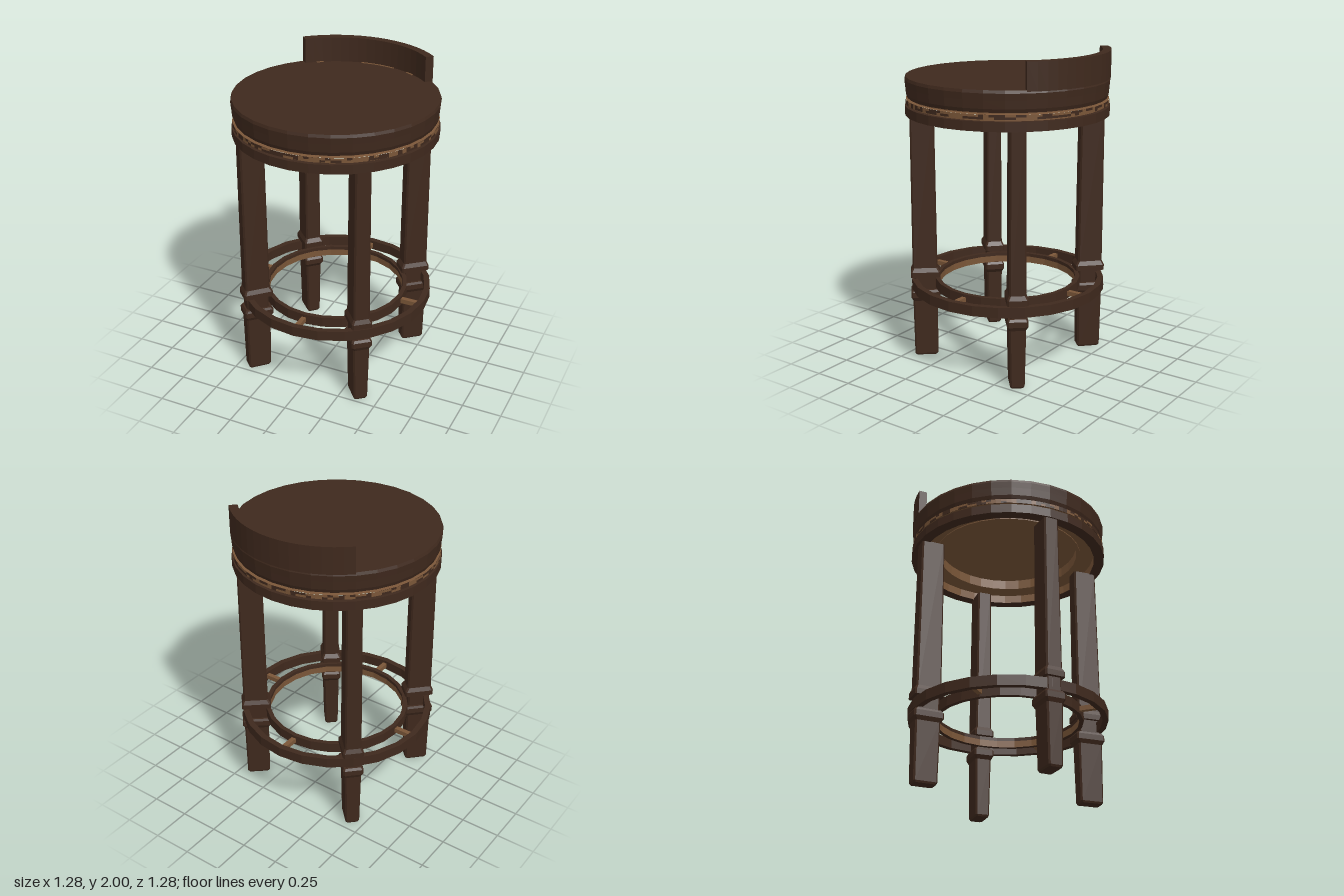
import * as THREE from 'three';

const flat = (color, name) => {
  const m = new THREE.MeshStandardMaterial({ color, flatShading: true });
  m.name = name;
  return m;
};

export function createModel() {
  const darkWood = flat(0x3f291d, 'dark wood');
  const paleWood = flat(0x7a5638, 'pale wood');
  const stool = new THREE.Group();
  stool.name = 'stool';

  const add = (name, geometry, material) => {
    const mesh = new THREE.Mesh(geometry, material);
    mesh.name = name;
    stool.add(mesh);
    return mesh;
  };
  // profile points are [radius, y]; rising runs face outwards
  const lathe = (points, sides = 32) =>
    new THREE.LatheGeometry(points.map(([r, y]) => new THREE.Vector2(r, y)), sides);

  // seat cushion
  add('seat', lathe([[0.5, 1.708], [0.622, 1.708], [0.63, 1.73], [0.634, 1.78],
    [0.638, 1.82], [0.632, 1.838], [0, 1.838]]), darkWood);

  // curved low backrest with worn pale slivers along its foot
  const arc = (inner, outer, turn, halfAngle, y, height) => {
    const shape = new THREE.Shape();
    const mid = Math.PI / 2 - turn;
    shape.absarc(0, 0, outer, mid - halfAngle, mid + halfAngle, false);
    shape.absarc(0, 0, inner, mid + halfAngle, mid - halfAngle, true);
    return new THREE.ExtrudeGeometry(shape, { depth: height, bevelEnabled: false, curveSegments: 8 })
      .rotateX(-Math.PI / 2).translate(0, y, 0);
  };
  add('backrest', arc(0.585, 0.638, 0, Math.PI / 4, 1.83, 0.17), darkWood);
  for (const [turn, half] of [[0.05, 0.2], [0.49, 0.05], [-0.62, 0.04]]) {
    add('backrestSliver', arc(0.574, 0.585, turn, half, 1.836, 0.005), paleWood);
  }

  // worn band between seat and apron: patches of dark over pale wood
  add('bandCore', lathe([[0.56, 1.655], [0.612, 1.655], [0.612, 1.67], [0.632, 1.67]]), paleWood);
  add('bandTop', lathe([[0.632, 1.698], [0.608, 1.7], [0.608, 1.71]]), paleWood);
  const band = new THREE.CylinderGeometry(0.632, 0.632, 0.028, 128, 2, true).translate(0, 1.684, 0);
  band.clearGroups();
  let seed = 7;
  for (let i = 0; i < 256; i++) {
    seed = (seed * 16807) % 2147483647;
    band.addGroup(i * 6, 6, seed / 2147483647 < 0.5 ? 0 : 1);
  }
  add('wornBand', band, [darkWood, paleWood]);

  // apron ring and recessed underside
  add('apron', lathe([[0.57, 1.6], [0.638, 1.6], [0.638, 1.658], [0.57, 1.658]]), darkWood);
  add('apronInside', lathe([[0.57, 1.66], [0.57, 1.6]]), paleWood);
  add('undersideRim', lathe([[0.455, 1.716], [0.455, 1.65], [0.48, 1.65], [0.48, 1.656], [0.575, 1.656]]), paleWood);
  add('underside', lathe([[0, 1.715], [0.46, 1.715]]), paleWood);

  // foot rest: two concentric rings joined by short struts
  const hoop = (inner, outer) =>
    lathe([[inner, 0.465], [outer, 0.465], [outer, 0.53], [inner, 0.53]], 24);
  const hoopInside = (radius, top, bottom) => lathe([[radius, top], [radius, bottom]], 24);
  add('outerFootRing', hoop(0.585, 0.622), darkWood);
  add('outerFootRingInside', hoopInside(0.585, 0.53, 0.465), darkWood);
  add('innerFootRing', hoop(0.442, 0.47), darkWood);
  add('innerFootRingUpperInside', hoopInside(0.442, 0.53, 0.508), darkWood);
  add('innerFootRingLowerInside', hoopInside(0.442, 0.508, 0.465), paleWood);
  for (let i = 0; i < 4; i++) {
    const strut = add('footRingStrut',
      new THREE.BoxGeometry(0.13, 0.03, 0.03).translate(0.527, 0.497, 0), paleWood);
    strut.rotation.y = i * Math.PI / 2;
  }

  // legs: chamfered sections [y, inner offset, outer offset, half width]
  const legGeometry = loft([
    [0, -0.072, 0.066, 0.04], [0.012, -0.078, 0.072, 0.045],
    [0.38, -0.083, 0.076, 0.052], [0.405, -0.1, 0.088, 0.065],
    [0.44, -0.1, 0.088, 0.065], [0.455, -0.09, 0.078, 0.058],
    [0.456, -0.075, 0.068, 0.047], [0.54, -0.075, 0.068, 0.047],
    [0.541, -0.1, 0.088, 0.065], [0.575, -0.1, 0.088, 0.065],
    [0.602, -0.083, 0.076, 0.052], [1.605, -0.079, 0.073, 0.048],
  ], 0.01);
  // the legs stand slightly unevenly, each turned to face the centre
  for (const [x, z] of [[0.348, 0.411], [0.408, -0.353], [-0.385, 0.398], [-0.385, -0.385]]) {
    const leg = add('leg', legGeometry, darkWood);
    leg.position.set(x, 0, z);
    leg.rotation.y = Math.atan2(-z, x);
  }
  return stool;
}

// joins eight-cornered rectangular sections into a closed post
function loft(sections, c) {
  const positions = [], index = [], n = 8;
  for (const [y, a, b, w] of sections) {
    const outline = [[b, -w + c], [b, w - c], [b - c, w], [a + c, w],
      [a, w - c], [a, -w + c], [a + c, -w], [b - c, -w]];
    for (const [x, s] of outline) positions.push(x, y, -s);
  }
  const last = (sections.length - 1) * n;
  for (let k = 0; k < last; k += n) {
    for (let i = 0; i < n; i++) {
      const p = k + i, q = k + (i + 1) % n;
      index.push(p, q, q + n, p, q + n, p + n);
    }
  }
  for (let i = 1; i < n - 1; i++) {
    index.push(0, i + 1, i, last, last + i, last + i + 1);
  }
  const geometry = new THREE.BufferGeometry();
  geometry.setAttribute('position', new THREE.Float32BufferAttribute(positions, 3));
  geometry.setIndex(index);
  geometry.computeVertexNormals();
  return geometry;
}
